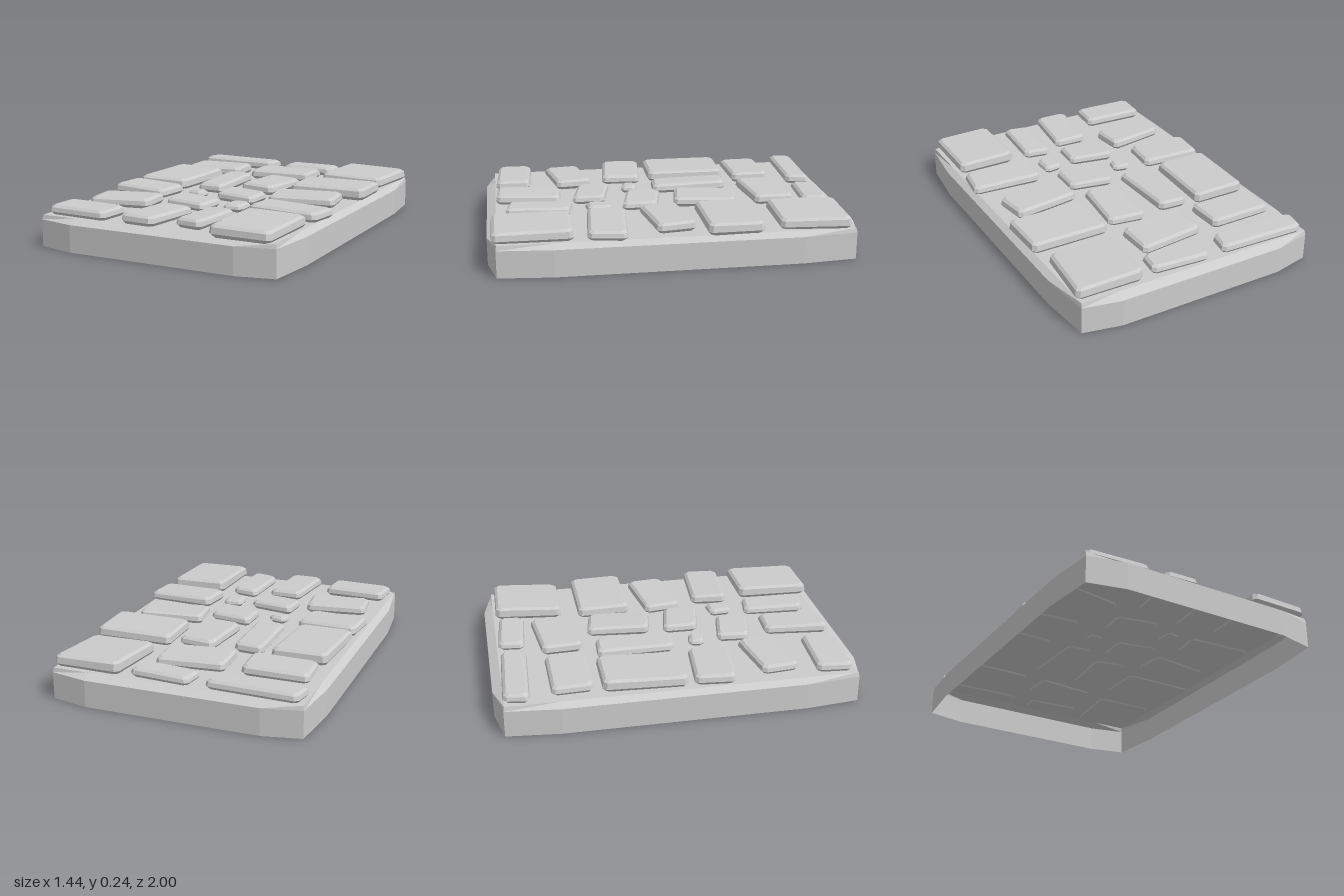
import * as THREE from 'three';

const material = new THREE.MeshStandardMaterial({ color: 0xcccccc, flatShading: true, side: THREE.DoubleSide });

// Skin a stack of equal-length rings, closing the top and optionally the bottom
function loft(rings, closeBottom) {
  const verts = [];
  const tri = (...pts) => pts.forEach((p) => verts.push(...p));
  const middle = (ring) => [0, 1, 2].map((k) => ring.reduce((s, p) => s + p[k], 0) / ring.length);
  const n = rings[0].length;
  const last = rings[rings.length - 1];
  for (let i = 0; i < n; i++) {
    const j = (i + 1) % n;
    for (let r = 0; r + 1 < rings.length; r++) {
      const lo = rings[r], up = rings[r + 1];
      tri(lo[i], up[i], lo[j]);
      tri(lo[j], up[i], up[j]);
    }
    tri(middle(last), last[j], last[i]);
    if (closeBottom) tri(middle(rings[0]), rings[0][i], rings[0][j]);
  }
  const geometry = new THREE.BufferGeometry();
  geometry.setAttribute('position', new THREE.Float32BufferAttribute(verts, 3));
  geometry.computeVertexNormals();
  return geometry;
}

// Hollow slab with bowed sides; its chamfer meets a rectangular top
function slabGeometry() {
  const quarter = [[0.72, 0.66], [0.69, 0.955], [0.48, 1]];
  const mirror = (sx, sz) => quarter.map(([x, z]) => [x * sx, z * sz]);
  const outline = [
    ...mirror(-1, -1), ...mirror(1, -1).reverse(),
    ...mirror(1, 1), ...mirror(-1, 1).reverse(),
  ];
  const clamp = THREE.MathUtils.clamp;
  return loft([
    outline.map(([x, z]) => [x, 0, z]),
    outline.map(([x, z]) => [x, 0.148, z]),
    outline.map(([x, z]) => [clamp(x, -0.685, 0.685), 0.173, clamp(z, -0.95, 0.95)]),
  ], false);
}

// Skewed stone with clipped corners, bevelled edges and a tilted top;
// slopeX skews its front and back edges, slopeZ its sides
function stoneGeometry([width, depth, slopeX, slopeZ], tiltX, tiltZ) {
  const height = 0.214 + 0.15 * width * depth; // larger stones stand prouder
  const clipX = 1 - 0.04 / width, clipZ = 1 - 0.04 / depth;
  const corners = [
    [-1, -clipZ], [-clipX, -1], [clipX, -1], [1, -clipZ],
    [1, clipZ], [clipX, 1], [-clipX, 1], [-1, clipZ],
  ];
  const ring = (inset, y, tilt) => corners.map(([u, v]) => {
    const a = u * (width / 2 - inset), b = v * (depth / 2 - inset);
    const x = a + slopeZ * b, z = b + slopeX * a;
    return [x, y + tilt * (tiltX * x + tiltZ * z), z];
  });
  return loft([
    ring(0.02, 0.165, 0), ring(0, 0.19, 0.4),
    ring(0.005, height - 0.012, 1), ring(0.02, height, 1),
  ], true);
}

// Centre x, centre z, width, depth, slopeX, slopeZ
const stones = [
  [-0.42, -0.875, 0.5, 0.14, 0.04, -0.17],
  [0.085, -0.86, 0.335, 0.145, 0.07, -0.12],
  [0.49, -0.74, 0.38, 0.385, 0.02, -0.1],
  [-0.445, -0.59, 0.37, 0.225, -0.01, 0.04],
  [0.015, -0.61, 0.38, 0.23, -0.1, 0.04],
  [-0.5, -0.205, 0.315, 0.455, 0.01, -0.05],
  [-0.19, -0.19, 0.17, 0.435, 0.06, 0.03],
  [0.09, -0.24, 0.215, 0.355, 0.16, -0.1],
  [0.475, -0.3, 0.45, 0.305, 0, 0.02],
  [0.43, 0.03, 0.38, 0.215, -0.14, 0.14],
  [-0.5, 0.18, 0.35, 0.225, 0.1, -0.09],
  [-0.18, 0.165, 0.105, 0.09, 0.2, -0.15],
  [0.08, 0.125, 0.255, 0.2, 0.2, -0.02],
  [-0.08, 0.4, 0.265, 0.185, 0.2, -0.08],
  [0.18, 0.38, 0.115, 0.135, -0.12, 0.04],
  [0.495, 0.365, 0.405, 0.21, 0.08, -0.12],
  [-0.44, 0.51, 0.35, 0.21, -0.17, 0.1],
  [-0.48, 0.835, 0.365, 0.2, 0.05, -0.08],
  [-0.09, 0.76, 0.2, 0.365, 0.05, -0.11],
  [0.17, 0.71, 0.16, 0.355, 0.16, -0.06],
  [0.5, 0.765, 0.34, 0.425, 0, -0.02],
];

export function createModel() {
  const model = new THREE.Group();
  model.name = 'pavedSlab';

  const slab = new THREE.Mesh(slabGeometry(), material);
  slab.name = 'slab';
  model.add(slab);

  // Paving stones set into the slab, each leaning a little differently
  const paving = new THREE.Group();
  paving.name = 'pavingStones';
  stones.forEach(([x, z, ...shape], i) => {
    const tiltX = 0.02 * Math.sin(i * 2.4), tiltZ = 0.02 * Math.cos(i * 1.7);
    const stone = new THREE.Mesh(stoneGeometry(shape, tiltX, tiltZ), material);
    stone.name = `stone${i + 1}`;
    stone.position.set(x, 0, z);
    paving.add(stone);
  });
  model.add(paving);
  return model;
}
